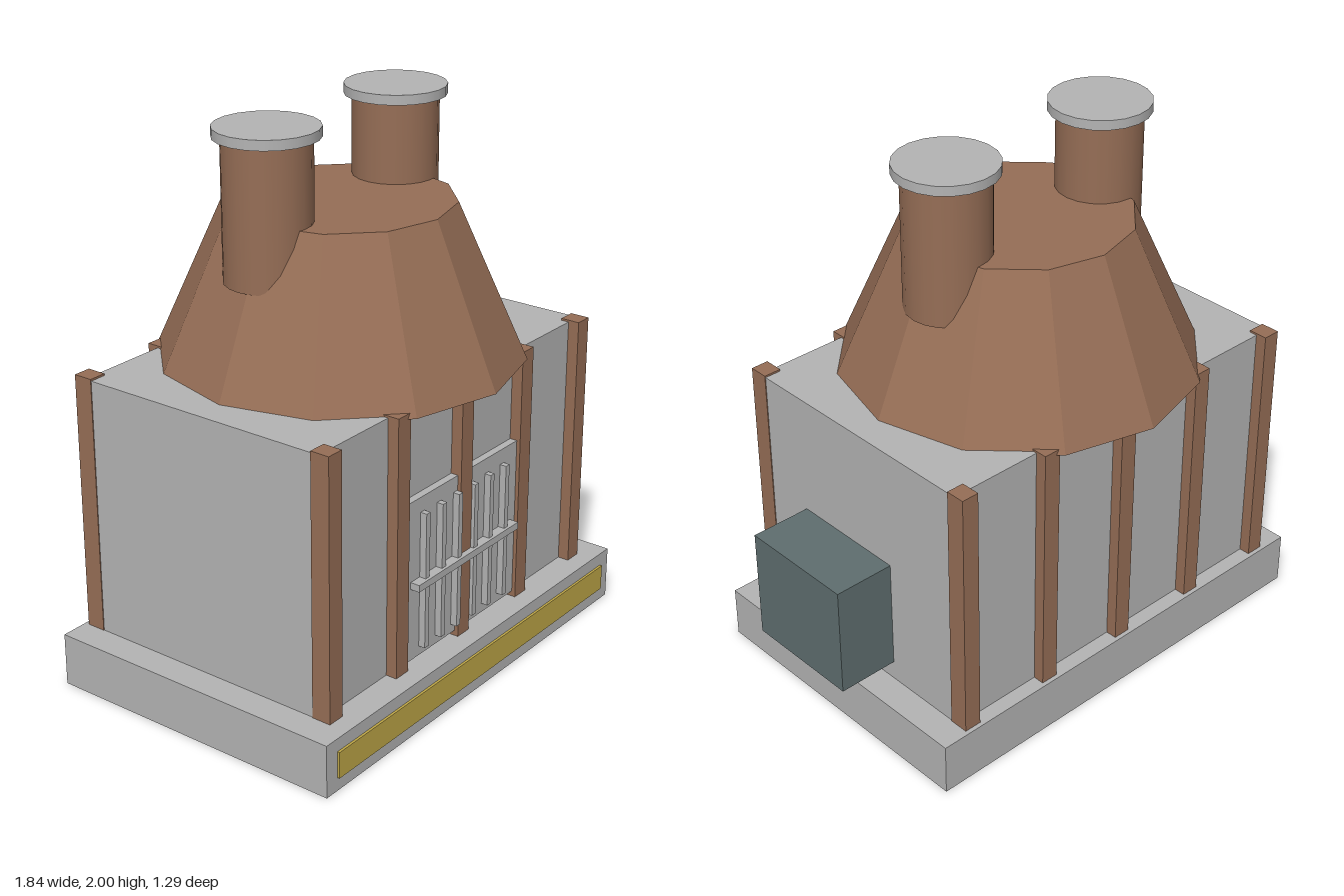
import * as THREE from 'three';

function material(name, color, flatShading = false) {
  const m = new THREE.MeshStandardMaterial({ color, flatShading });
  m.name = name;
  return m;
}

export function createModel() {
  const grey = material('concreteGrey', 0xb4b4b4);
  const brown = material('rustBrown', 0x966e56);
  const slate = material('slateGreen', 0x5f6e6f);
  const gold = material('stripeGold', 0xc0a848);

  const model = new THREE.Group();
  model.name = 'furnaceBuilding';

  const add = (name, geometry, mat, parent = model) => {
    const mesh = new THREE.Mesh(geometry, mat);
    mesh.name = name;
    parent.add(mesh);
    return mesh;
  };
  // Box given by its lower and upper limits on each axis
  const box = (name, mat, [x0, x1], [y0, y1], [z0, z1], parent) => {
    const g = new THREE.BoxGeometry(x1 - x0, y1 - y0, z1 - z0);
    g.translate((x0 + x1) / 2, (y0 + y1) / 2, (z0 + z1) / 2);
    return add(name, g, mat, parent);
  };

  const cx = -0.062; // centre line of the building

  // Plinth with its front stripe
  box('plinth', grey, [-0.92, 0.797], [0, 0.195], [-0.555, 0.608]);
  box('plinthStripe', gold, [-0.865, 0.745], [0.05, 0.147], [0.608, 0.617]);

  // Main block
  box('mainBlock', grey, [-0.812, 0.688], [0.195, 1.138], [-0.497, 0.497]);

  // Posts along front and back
  const posts = new THREE.Group();
  posts.name = 'posts';
  model.add(posts);
  for (let i = -2; i <= 2; i++) {
    const x = cx + i * 0.36;
    for (const z of [-0.503, 0.503]) {
      box('post', brown, [x - 0.033, x + 0.033], [0.195, 1.145], [z - 0.036, z + 0.036], posts);
    }
  }

  // Front door with vertical bars and a cross bar
  const door = new THREE.Group();
  door.name = 'door';
  model.add(door);
  box('doorPanel', grey, [-0.39, 0.266], [0.215, 0.81], [0.49, 0.525], door);
  for (let i = 0; i < 6; i++) {
    const x = cx + (i - 2.5) * 0.0943;
    box('doorBar', grey, [x - 0.011, x + 0.011], [0.25, 0.755], [0.52, 0.55], door);
  }
  box('doorCrossBar', grey, [-0.36, 0.235], [0.489, 0.515], [0.52, 0.561], door);

  // Side cabinet
  box('sideCabinet', slate, [0.68, 0.915], [0.268, 0.685], [-0.167, 0.28]);

  // Twelve-sided tapered hood
  const hoodMaterial = brown.clone();
  hoodMaterial.flatShading = true;
  const hood = add('hood', new THREE.CylinderGeometry(0.4, 0.646, 0.553, 12), hoodMaterial);
  hood.position.set(cx, 1.4035, 0);

  // Two capped chimneys
  for (const side of [-1, 1]) {
    const chimney = new THREE.Group();
    chimney.name = side < 0 ? 'rightChimney' : 'leftChimney';
    chimney.position.set(cx + side * 0.347, 0, -0.028);
    model.add(chimney);
    const stack = add('stack', new THREE.CylinderGeometry(0.152, 0.152, 0.495, 20), brown, chimney);
    stack.position.y = 1.7225;
    const cap = add('chimneyCap', new THREE.CylinderGeometry(0.18, 0.18, 0.035, 20), grey, chimney);
    cap.position.y = 1.9825;
  }

  return model;
}
